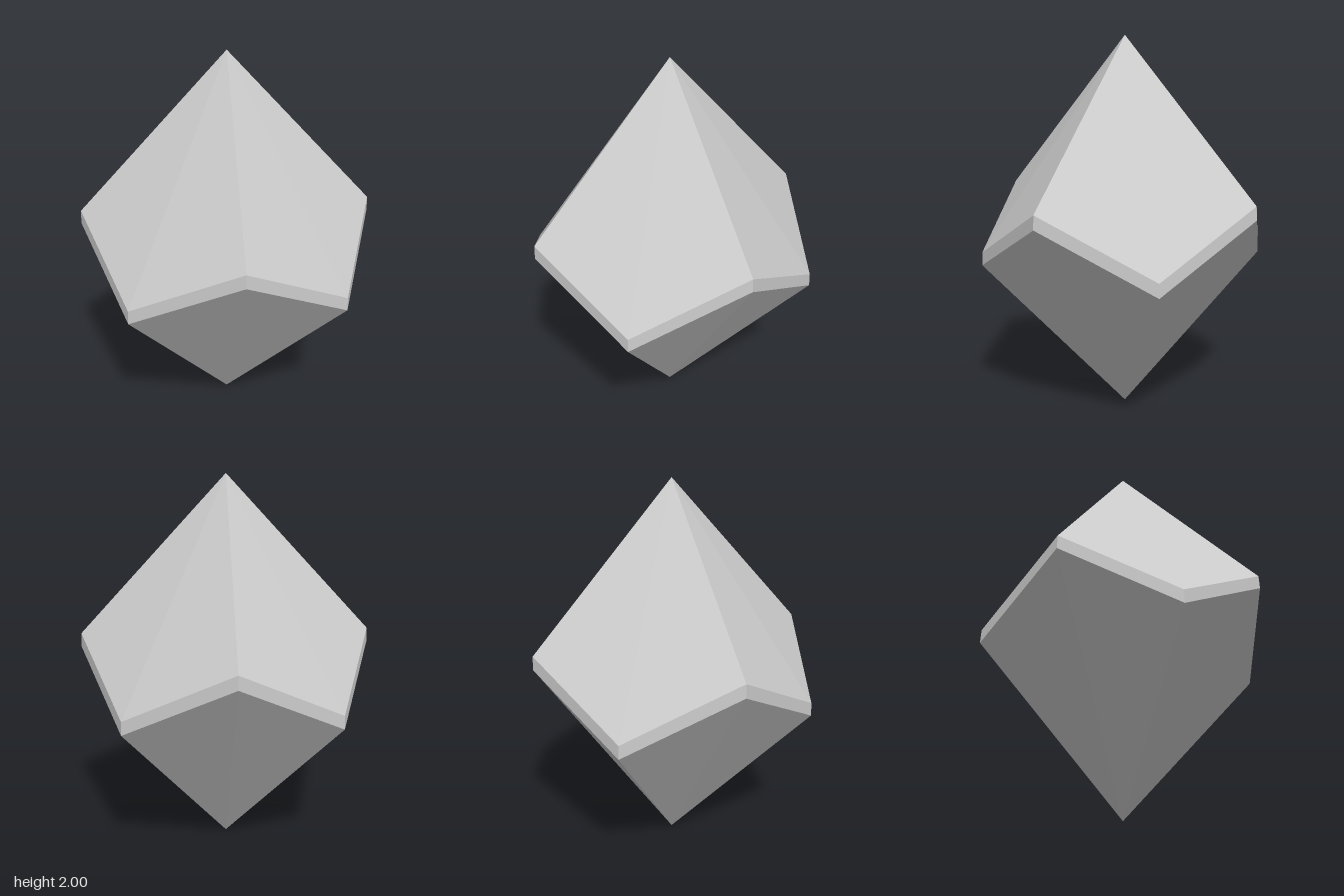
import * as THREE from 'three';

const SIDES = 8;
const RADIUS = 0.762;
const BELT = 0.07;

// Zigzag ring: low corners on the axes, high corners on the diagonals
function ring(lowY, radius) {
  return Array.from({ length: SIDES }, (_, i) => {
    const a = (i / SIDES) * Math.PI * 2;
    const y = lowY + (i % 2) * 0.292;
    return new THREE.Vector3(Math.sin(a) * radius, y, Math.cos(a) * radius);
  });
}

// Flat-shaded mesh from loose triangles
function facetMesh(name, points, material) {
  const geometry = new THREE.BufferGeometry().setFromPoints(points);
  geometry.computeVertexNormals();
  const mesh = new THREE.Mesh(geometry, material);
  mesh.name = name;
  return mesh;
}

export function createModel() {
  const group = new THREE.Group();
  group.name = 'tenSidedDie';
  const material = new THREE.MeshStandardMaterial({ color: 0xcccccc, flatShading: true });

  const lower = ring(0.823, RADIUS);
  const upper = ring(0.823 + BELT, RADIUS - 0.003);
  const top = new THREE.Vector3(0, 2, 0);
  const bottom = new THREE.Vector3(0, 0, 0);

  const crown = [], belt = [], base = [];
  for (let i = 0; i < SIDES; i++) {
    const j = (i + 1) % SIDES;
    crown.push(top, upper[i], upper[j]);
    belt.push(lower[i], lower[j], upper[j], lower[i], upper[j], upper[i]);
    base.push(bottom, lower[j], lower[i]);
  }

  // Four kite faces above, a narrow zigzag belt, four kite faces below
  group.add(
    facetMesh('upperFaces', crown, material),
    facetMesh('belt', belt, material),
    facetMesh('lowerFaces', base, material),
  );
  return group;
}
